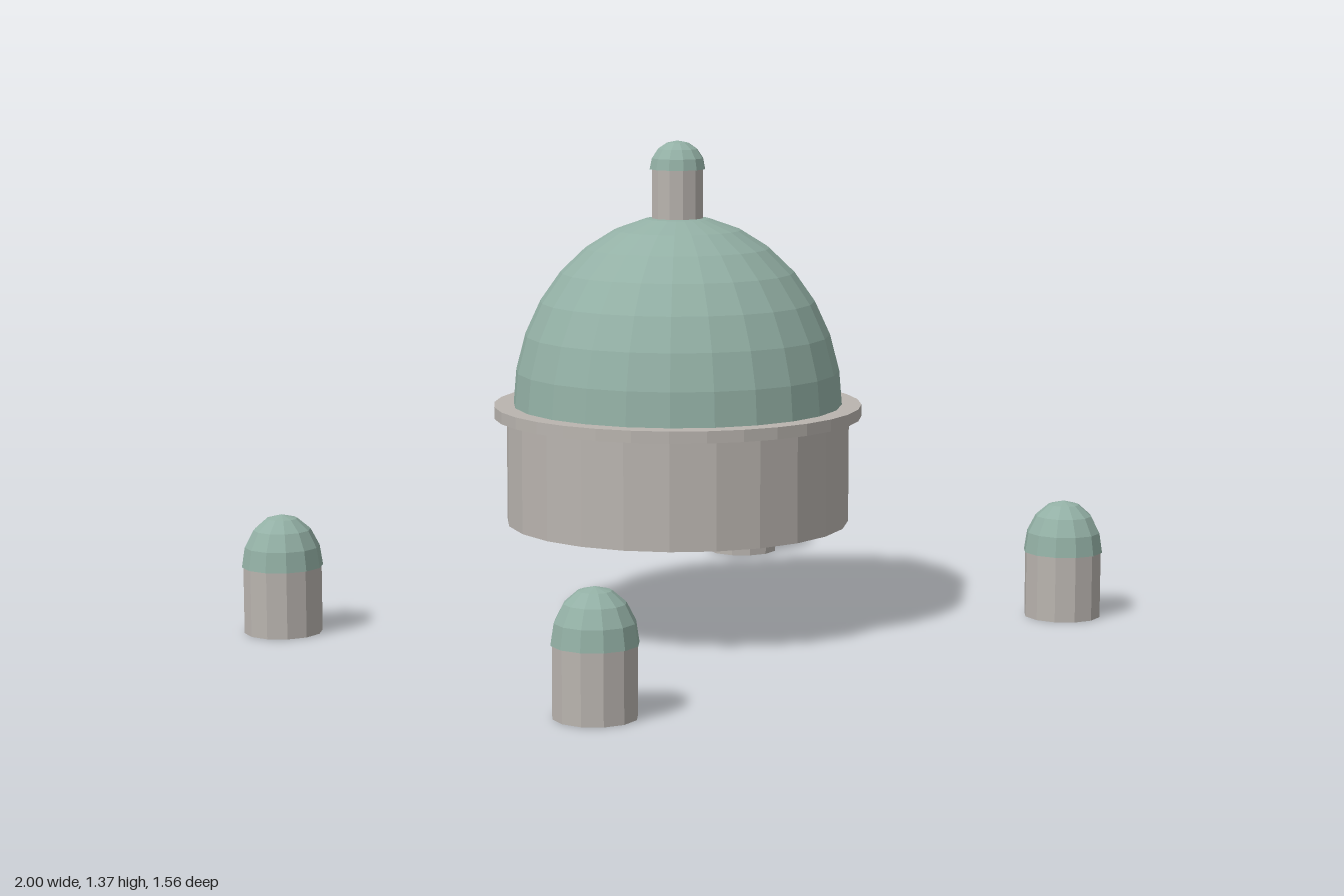
import * as THREE from 'three';

const stone = new THREE.MeshStandardMaterial({ name: 'paleStone', color: 0xb9b4af, flatShading: true });
const copper = new THREE.MeshStandardMaterial({
  name: 'greenCopper', color: 0x93b0a5, flatShading: true, side: THREE.DoubleSide,
});

// Upright cylinder between two heights
function drum(name, radius, bottom, top, sides) {
  const mesh = new THREE.Mesh(new THREE.CylinderGeometry(radius, radius, top - bottom, sides), stone);
  mesh.name = name;
  mesh.position.y = (bottom + top) / 2;
  return mesh;
}

// Half sphere stretched to a height, open below
function dome(name, radius, bottom, height, sides, rings) {
  const geometry = new THREE.SphereGeometry(radius, sides, rings, 0, Math.PI * 2, 0, Math.PI / 2);
  geometry.scale(1, height / radius, 1);
  const mesh = new THREE.Mesh(geometry, copper);
  mesh.name = name;
  mesh.position.y = bottom;
  return mesh;
}

export function createModel() {
  const model = new THREE.Group();
  model.name = 'domedRoof';

  // Main dome on its drum and ledge
  model.add(
    drum('mainDrum', 0.481, 0.298, 0.61, 24),
    drum('ledge', 0.516, 0.597, 0.63, 32),
    dome('mainDome', 0.462, 0.62, 0.54, 24, 8),
  );

  // Lantern on the crown
  model.add(
    drum('lantern', 0.073, 1.14, 1.29, 12),
    dome('lanternCap', 0.079, 1.288, 0.079, 12, 4),
  );

  // Four corner turrets
  for (const x of [-1, 1]) {
    for (const z of [-1, 1]) {
      const turret = new THREE.Group();
      turret.name = `${z > 0 ? 'front' : 'back'}${x > 0 ? 'Left' : 'Right'}Turret`;
      turret.add(
        drum('turretBody', 0.109, 0, 0.19, 12),
        dome('turretCap', 0.113, 0.187, 0.146, 12, 4),
      );
      turret.position.set(x * 0.887, 0, z * 0.665);
      model.add(turret);
    }
  }
  return model;
}
